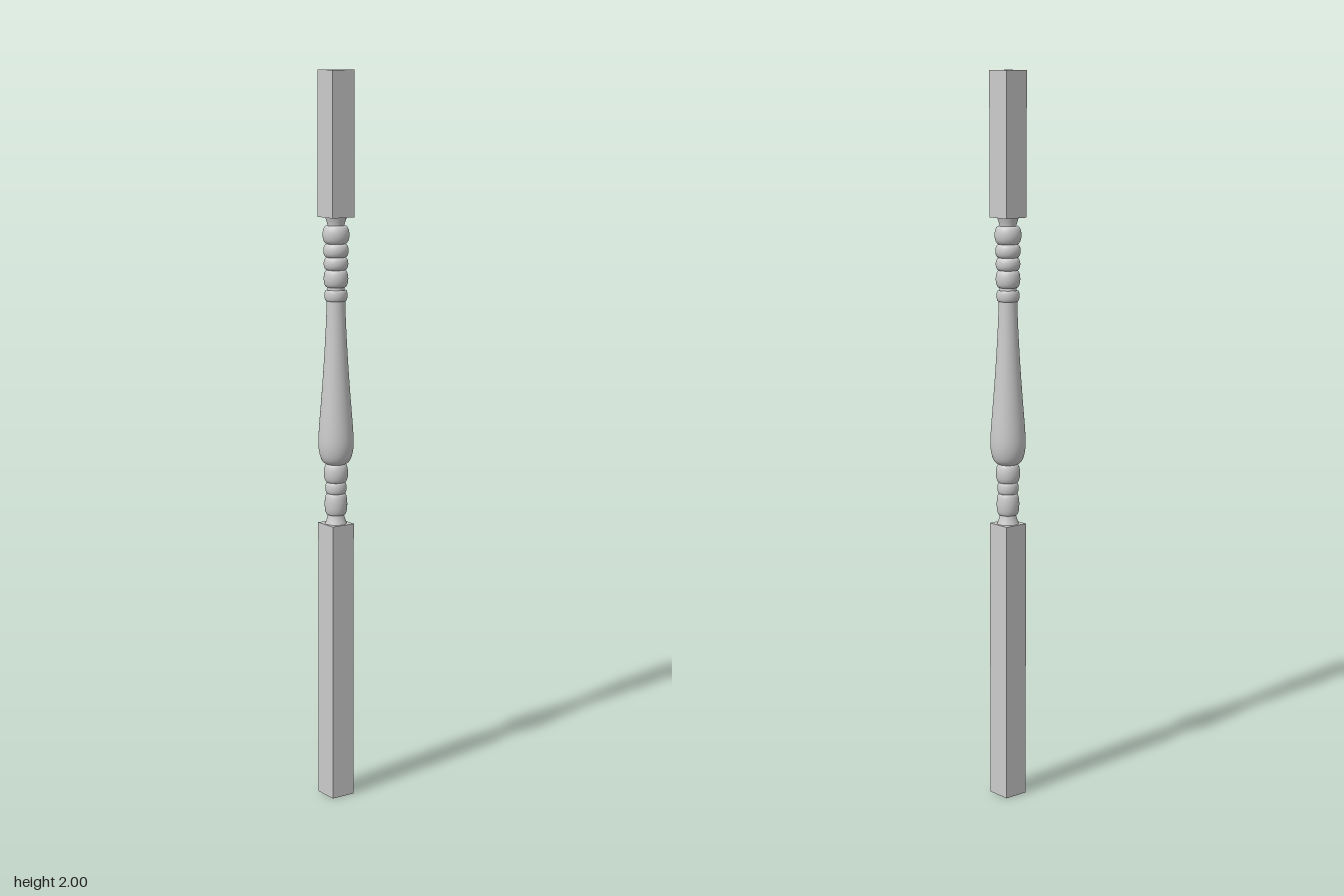
import * as THREE from 'three';

const SEGMENTS = 48;

export function createModel() {
  const group = new THREE.Group();
  const material = new THREE.MeshStandardMaterial({ color: 0xcccccc });

  const add = (name, geometry, y = 0) => {
    const mesh = new THREE.Mesh(geometry, material);
    mesh.name = name;
    mesh.position.y = y;
    group.add(mesh);
  };

  // Square block between two heights
  const block = (name, y0, y1) =>
    add(name, new THREE.BoxGeometry(0.07, y1 - y0, 0.07), (y0 + y1) / 2);

  // Turned part from [radius, height] points, bottom to top
  const turned = (name, points) =>
    add(name, new THREE.LatheGeometry(points.map(([r, y]) => new THREE.Vector2(r, y)), SEGMENTS));

  // Rounded bead: half an ellipse swept around the groove radius
  const bead = (name, y0, y1, radius, groove = 0.024) => {
    const points = [];
    for (let i = 0; i <= 12; i++) {
      const a = -Math.PI / 2 + (Math.PI * i) / 12;
      points.push([groove + (radius - groove) * Math.cos(a), (y0 + y1) / 2 + ((y1 - y0) / 2) * Math.sin(a)]);
    }
    turned(name, points);
  };

  block('lowerBlock', 0, 0.778);
  block('upperBlock', 1.614, 2);

  // Flared necks next to the blocks
  turned('lowerNeck', [[0.03, 0.777], [0.027, 0.785], [0.023, 0.797], [0.022, 0.806]]);
  turned('upperNeck', [[0.022, 1.585], [0.023, 1.595], [0.026, 1.605], [0.029, 1.615]]);

  // Beads below and above the vase
  [
    [0.803, 0.862, 0.031], [0.862, 0.893, 0.029], [0.893, 0.945, 0.033],
  ].forEach(([y0, y1, r], i) => bead(`lowerBead${i + 1}`, y0, y1, r));
  [
    [1.427, 1.473, 0.033], [1.473, 1.507, 0.033], [1.507, 1.543, 0.034], [1.543, 1.592, 0.036],
  ].forEach(([y0, y1, r], i) => bead(`upperBead${i + 1}`, y0, y1, r));

  // Collar on top of the vase, with a short neck above it
  bead('collar', 1.39, 1.42, 0.031, 0.026);
  turned('collarNeck', [[0.025, 1.415], [0.023, 1.422], [0.024, 1.43]]);

  // Tapering vase, smoothed through a few points
  const curve = new THREE.SplineCurve([
    [0.024, 0.943], [0.036, 0.951], [0.044, 0.969], [0.048, 0.998], [0.0465, 1.04],
    [0.041, 1.11], [0.035, 1.19], [0.03, 1.27], [0.0265, 1.34], [0.025, 1.395],
  ].map(([r, y]) => new THREE.Vector2(r, y)));
  add('vase', new THREE.LatheGeometry(curve.getPoints(45), SEGMENTS));

  return group;
}
